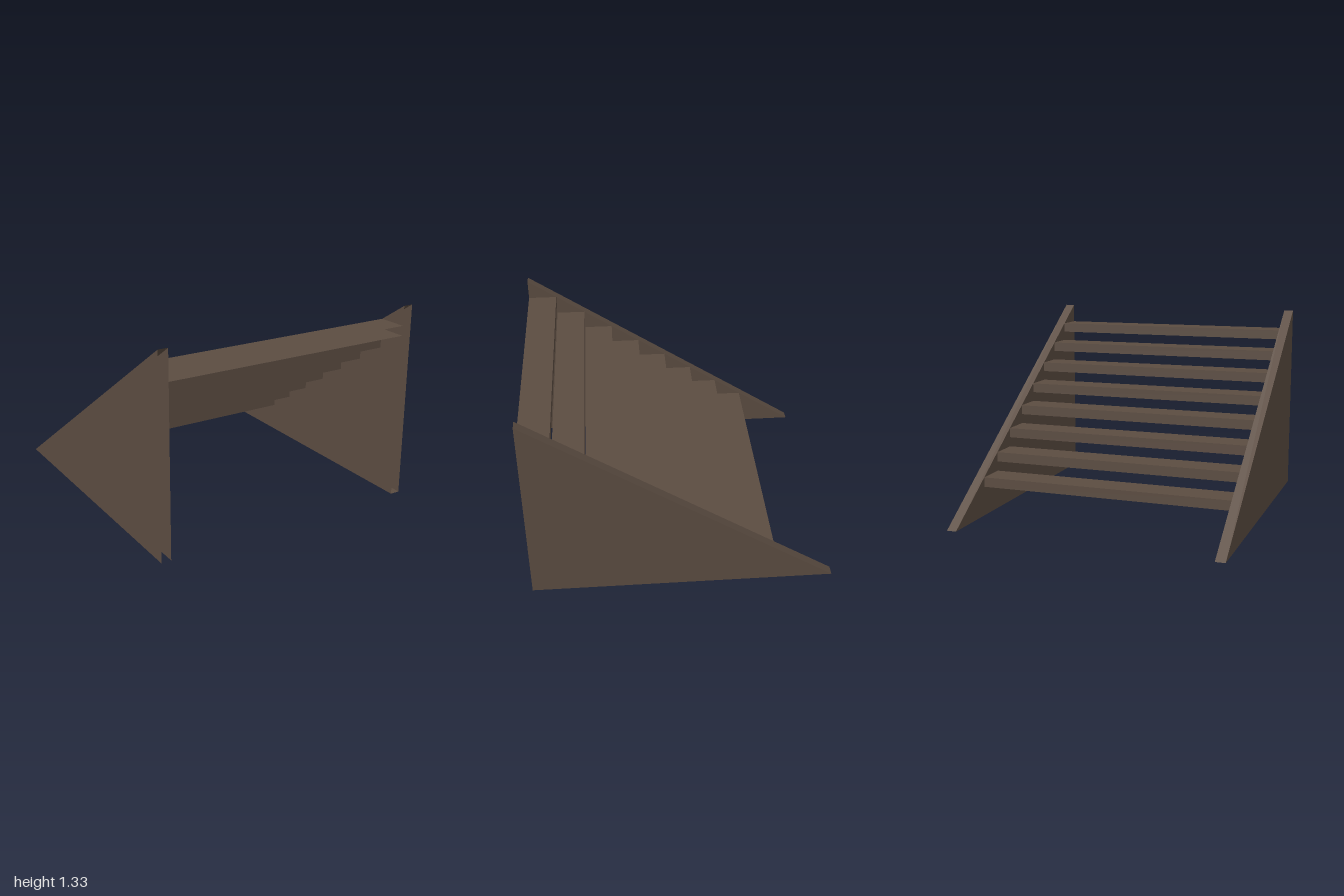
import * as THREE from 'three';

// Flat-sided shell from convex polygons given as corner loops, outward order.
function shell(polygons, material, name) {
  const pos = [];
  for (const p of polygons) {
    for (let i = 1; i < p.length - 1; i++) pos.push(...p[0], ...p[i], ...p[i + 1]);
  }
  const geo = new THREE.BufferGeometry();
  geo.setAttribute('position', new THREE.Float32BufferAttribute(pos, 3));
  geo.computeVertexNormals();
  const mesh = new THREE.Mesh(geo, material);
  mesh.name = name;
  return mesh;
}

export function createModel() {
  const group = new THREE.Group();
  group.name = 'openStaircase';
  const wood = new THREE.MeshStandardMaterial({ color: 0x5b4c41, side: THREE.DoubleSide });
  wood.name = 'darkWood';

  const H = 4 / 3, IN = 0.8667, OUT = 0.9333;

  // Triangular side panels, open along the tall front edge
  function panel(x0, x1, withBottom, name) {
    const tri = (x) => [[x, 0, 1], [x, 0, -1], [x, H, 1]];
    const faces = [
      tri(x1),
      tri(x0).reverse(),
      [[x0, 0, -1], [x0, H, 1], [x1, H, 1], [x1, 0, -1]],
    ];
    if (withBottom) faces.push([[x0, 0, -1], [x1, 0, -1], [x1, 0, 1], [x0, 0, 1]]);
    group.add(shell(faces, wood, name));
  }
  panel(IN, OUT, true, 'leftSidePanel');
  panel(-OUT, -IN, false, 'rightSidePanel');

  // Treads, climbing from the back to the front between the panels
  const count = 8, thick = H / 20, depth = 0.2;
  for (let i = 0; i < count; i++) {
    const top = 0.2667 + i * H / 10, low = top - thick;
    const back = -0.6 + i * depth, front = back + depth;
    const faces = [
      [[-IN, top, front], [IN, top, front], [IN, top, back], [-IN, top, back]],
      [[IN, low, back], [-IN, low, back], [-IN, top, back], [IN, top, back]],
    ];
    // the lowest tread is open below, the highest is open in front
    if (i > 0) faces.push([[-IN, low, back], [IN, low, back], [IN, low, front], [-IN, low, front]]);
    if (i < count - 1) faces.push([[-IN, low, front], [IN, low, front], [IN, top, front], [-IN, top, front]]);
    group.add(shell(faces, wood, `tread${i + 1}`));
  }
  return group;
}
